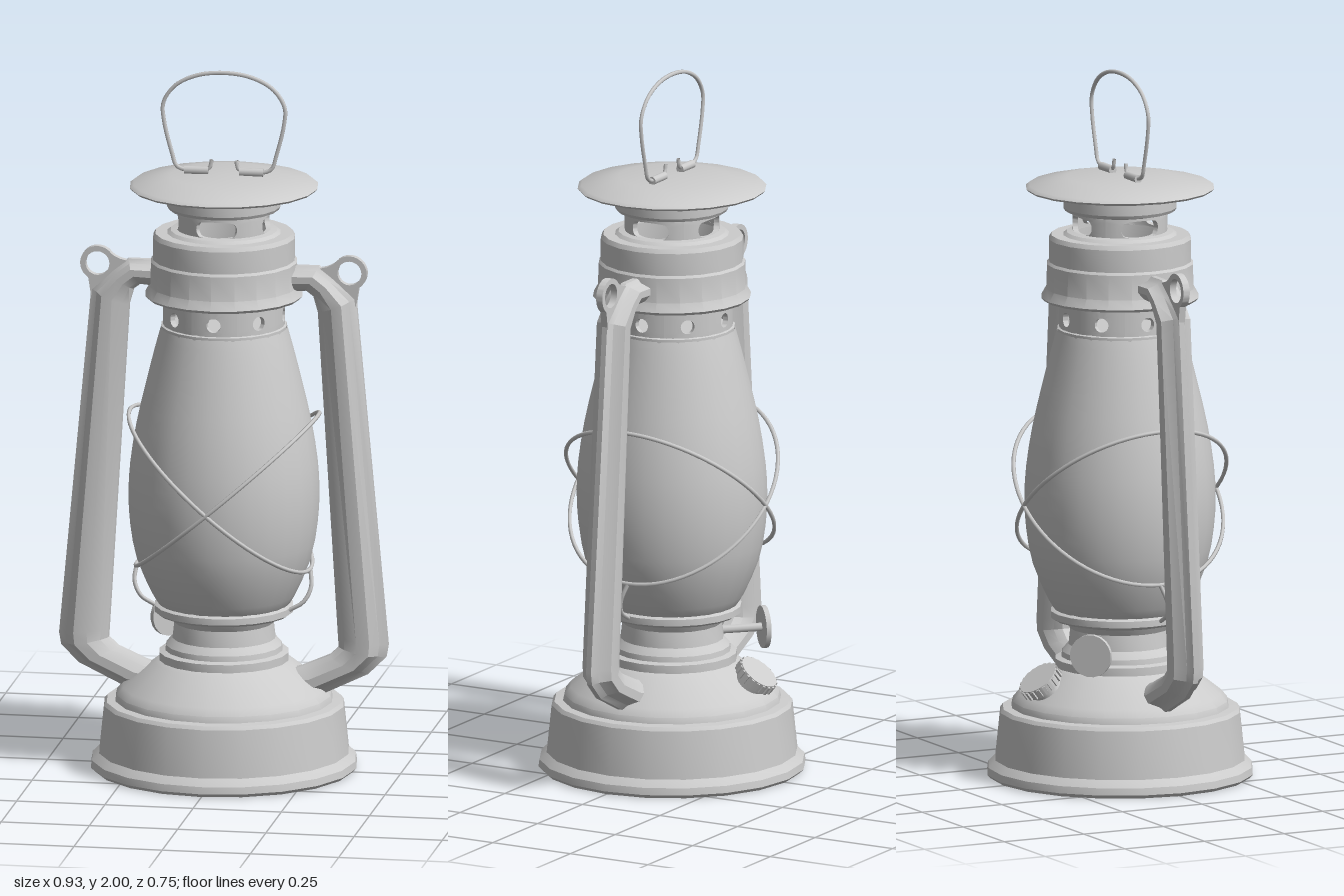
import * as THREE from 'three';
import { toCreasedNormals } from 'three/addons/utils/BufferGeometryUtils.js';
import { ParametricGeometry } from 'three/addons/geometries/ParametricGeometry.js';

const SIDES = 20;
const grey = new THREE.MeshStandardMaterial({ color: 0xcccccc, side: THREE.DoubleSide });
const v3 = (p) => new THREE.Vector3(...p);

function add(parent, name, geometry, position) {
  const mesh = new THREE.Mesh(geometry, grey);
  mesh.name = name;
  if (position) mesh.position.set(...position);
  parent.add(mesh);
  return mesh;
}

// Turned part from [radius, height] pairs, listed bottom to top
function turned(profile, sides = SIDES) {
  const pts = profile.map(([r, y]) => new THREE.Vector2(r, y));
  return toCreasedNormals(new THREE.LatheGeometry(pts, sides), 0.5);
}

function wire(points, radius, closed = false, steps = 48) {
  const curve = new THREE.CatmullRomCurve3(points.map(v3), closed);
  return new THREE.TubeGeometry(curve, steps, radius, 6, closed);
}

// One curved panel of a round band, with a rounded opening and an inner lip
function bandPanel(r, y0, y1, count, halfW, halfH, holeY) {
  const arc = Math.PI / count;
  const surface = (u, v, target) => {
    const a = u * Math.PI * 2;
    const c = Math.cos(a), s = Math.sin(a), m = Math.max(Math.abs(c), Math.abs(s));
    const hx = (halfH * c + (halfW - halfH) * THREE.MathUtils.clamp(c * 2, -1, 1)) / r;
    const hy = holeY + halfH * s;
    const ox = (arc * c) / m;
    const oy = (y0 + y1) / 2 + ((y1 - y0) / 2) * (s / m);
    const t = Math.max(0, (v - 0.2) / 0.8);
    const rad = v < 0.1 ? r - 0.015 : r;
    const angle = hx + (ox - hx) * t;
    target.set(Math.sin(angle) * rad, hy + (oy - hy) * t, Math.cos(angle) * rad);
  };
  return toCreasedNormals(new ParametricGeometry(surface, 32, 5), 0.5);
}

function perforatedBand(parent, name, count, ...args) {
  const band = new THREE.Group();
  band.name = name;
  const [r, y0, y1, halfW, halfH, holeY] = args;
  const panel = bandPanel(r, y0, y1, count, halfW, halfH, holeY);
  for (let i = 0; i < count; i++) add(band, name + 'Panel', panel).rotation.y = (i * Math.PI * 2) / count;
  parent.add(band);
}

// Side frame: rows of [outer x, outer y, inner x, inner y] with a finned section between them
function frameGeometry() {
  const rows = [
    [0.18, 1.45, 0.18, 1.375], [0.27, 1.45, 0.235, 1.38], [0.315, 1.415, 0.255, 1.365],
    [0.375, 1.36, 0.268, 1.32], [0.466, 0.37, 0.325, 0.39], [0.46, 0.335, 0.327, 0.36],
    [0.41, 0.285, 0.30, 0.335], [0.29, 0.227, 0.22, 0.3], [0.17, 0.22, 0.15, 0.28],
  ];
  const half = [[0, 0.008], [0.16, 0.018], [0.33, 0.046], [0.6, 0.046], [0.86, 0.03], [1, 0.012]];
  const section = [...half, ...half.slice().reverse().map(([t, z]) => [t, -z])];
  const n = section.length, pos = [], index = [];
  rows.forEach(([xo, yo, xi, yi]) => section.forEach(([t, z]) =>
    pos.push(xo + (xi - xo) * t, yo + (yi - yo) * t, z)));
  for (let i = 0; i < rows.length - 1; i++) {
    for (let j = 0; j < n; j++) {
      const a = i * n + j, b = i * n + ((j + 1) % n);
      index.push(a, b, a + n, b, b + n, a + n);
    }
  }
  const g = new THREE.BufferGeometry();
  g.setAttribute('position', new THREE.Float32BufferAttribute(pos, 3));
  g.setIndex(index);
  return toCreasedNormals(g, 0.5);
}

// Thin eyelet plate with a web running into the frame
function eyeletGeometry() {
  const shape = new THREE.Shape();
  shape.moveTo(0.21, 1.445);
  shape.quadraticCurveTo(0.3, 1.435, 0.325, 1.472);
  shape.absarc(0.357, 1.434, 0.049, Math.PI * 0.72, -Math.PI * 0.32, true);
  shape.lineTo(0.375, 1.34);
  shape.lineTo(0.29, 1.34);
  shape.lineTo(0.21, 1.4);
  const hole = new THREE.Path();
  hole.absarc(0.357, 1.434, 0.034, 0, Math.PI * 2, true);
  shape.holes.push(hole);
  const g = new THREE.ExtrudeGeometry(shape, { depth: 0.02, bevelEnabled: false, curveSegments: 12 });
  return toCreasedNormals(g.translate(0, 0, -0.01), 0.6);
}

export function createModel() {
  const lantern = new THREE.Group();
  lantern.name = 'lantern';

  // Fuel tank, burner cup and glass seat
  add(lantern, 'fuelTank', turned([
    [0, 0], [0.365, 0], [0.375, 0.01], [0.372, 0.03], [0.352, 0.05], [0.338, 0.185], [0.33, 0.195],
    [0.306, 0.198], [0.302, 0.215], [0.285, 0.235], [0.195, 0.305], [0.182, 0.312], [0.182, 0.335], [0.165, 0.34],
    [0.163, 0.355], [0.145, 0.375], [0.14, 0.42], [0.15, 0.437], [0.185, 0.445], [0.195, 0.452],
    [0.195, 0.47], [0.18, 0.478], [0, 0.478],
  ]));

  // Glass globe
  const globe = [[0.18, 0.47], [0.2, 0.5], [0.243, 0.6], [0.262, 0.7], [0.267, 0.79], [0.262, 0.88],
    [0.245, 0.99], [0.22, 1.1], [0.195, 1.2], [0.177, 1.265]];
  const globeCurve = new THREE.SplineCurve(globe.map((p) => new THREE.Vector2(...p)));
  add(lantern, 'glassGlobe', turned(globeCurve.getPoints(18).map((p) => [p.x, p.y]), 28));

  // Vented bands and the hood between them
  add(lantern, 'globeRim', turned([[0, 1.262], [0.177, 1.262], [0.177, 1.272], [0.17, 1.275]]));
  perforatedBand(lantern, 'lowerVent', 8, 0.17, 1.272, 1.36, 0.02, 0.02, 1.306);
  add(lantern, 'hood', turned([
    [0.17, 1.355], [0.215, 1.352], [0.222, 1.36], [0.208, 1.385], [0.206, 1.455], [0.2, 1.462],
    [0.2, 1.525], [0.193, 1.537], [0.16, 1.537], [0.15, 1.545], [0.132, 1.548],
  ]));
  perforatedBand(lantern, 'upperVent', 4, 0.132, 1.538, 1.602, 0.06, 0.024, 1.57);
  add(lantern, 'chimneyCollar', turned([[0.13, 1.6], [0.155, 1.606], [0.16, 1.615], [0.16, 1.67]]));
  add(lantern, 'cap', turned([
    [0, 1.664], [0.26, 1.664], [0.265, 1.67], [0.255, 1.678], [0.15, 1.7], [0, 1.703],
  ]));

  // Side frames
  const frame = frameGeometry(), eyelet = eyeletGeometry();
  for (const side of [0, Math.PI]) {
    const arm = new THREE.Group();
    arm.name = 'sideFrame';
    arm.rotation.y = side;
    add(arm, 'frameArm', frame);
    add(arm, 'eyelet', eyelet);
    lantern.add(arm);
  }

  // Crossed guard wires around the globe, with a hook to the seat
  for (const s of [-1, 1]) {
    const loop = [];
    for (let i = 0; i < 24; i++) {
      const a = (i / 24) * Math.PI * 2;
      const x = 0.255 * Math.cos(a) + 0.01;
      loop.push([s * x, 0.79 + 0.86 * x, 0.302 * Math.sin(a)]);
    }
    add(lantern, 'guardWire', wire(loop, 0.006, true, 72));
    add(lantern, 'guardHook', wire([
      [s * 0.245, 0.58, 0], [s * 0.25, 0.53, 0.02], [s * 0.23, 0.49, 0.03], [s * 0.19, 0.465, 0.03],
    ], 0.006, false, 12));
  }

  // Wick knob on a stem
  const knob = new THREE.Group();
  knob.name = 'wickKnob';
  add(knob, 'knobDisc', new THREE.CylinderGeometry(0.06, 0.06, 0.014, 20), [0, 0.265, 0]);
  add(knob, 'knobStem', new THREE.CylinderGeometry(0.012, 0.012, 0.18, 8), [0, 0.175, 0]);
  knob.position.y = 0.385;
  knob.quaternion.setFromUnitVectors(v3([0, 1, 0]), v3([-1, 0, -1]).normalize());
  lantern.add(knob);

  // Filler cap with a ribbed edge
  const filler = new THREE.Group();
  filler.name = 'fillerCap';
  add(filler, 'fillerDisc', new THREE.CylinderGeometry(0.058, 0.058, 0.03, 20));
  add(filler, 'fillerNeck', new THREE.CylinderGeometry(0.045, 0.045, 0.05, 16), [0, -0.035, 0]);
  for (let i = 0; i < 20; i++) {
    const a = (i / 20) * Math.PI * 2;
    const rib = add(filler, 'fillerRib', new THREE.BoxGeometry(0.009, 0.026, 0.009),
      [Math.sin(a) * 0.058, 0, Math.cos(a) * 0.058]);
    rib.rotation.y = a;
  }
  filler.position.set(-0.02, 0.29, -0.26);
  filler.quaternion.setFromUnitVectors(v3([0, 1, 0]), v3([-0.05, 0.78, -0.62]).normalize());
  lantern.add(filler);

  // Wire bail and the sleeves that hold it
  const half = [[0.035, 1.742, 0], [0.04, 1.72, 0], [0.055, 1.711, 0], [0.11, 1.711, 0], [0.135, 1.722, 0],
    [0.148, 1.76, 0], [0.17, 1.85, 0], [0.172, 1.9, 0], [0.14, 1.95, 0], [0.08, 1.982, 0]];
  const mirrored = half.map(([x, y, z]) => [-x, y, z]).reverse();
  add(lantern, 'bail', wire([...half, [0, 1.993, 0], ...mirrored], 0.006, false, 96));
  for (const s of [-1, 1]) {
    add(lantern, 'bailSleeve', new THREE.CylinderGeometry(0.012, 0.012, 0.068, 10), [s * 0.078, 1.71, 0])
      .rotation.z = Math.PI / 2;
  }
  return lantern;
}
